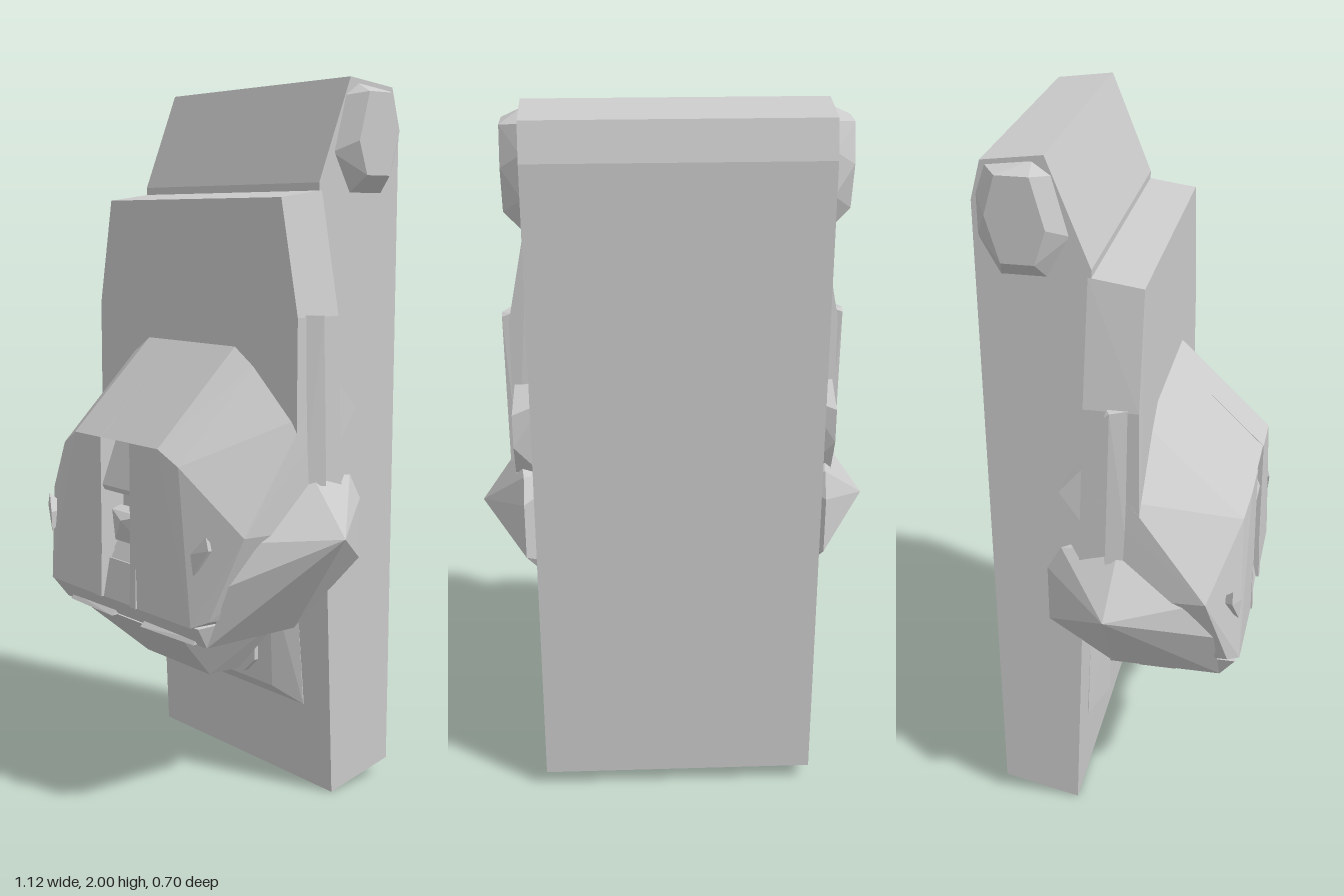
import * as THREE from 'three';
import { ConvexGeometry } from 'three/addons/geometries/ConvexGeometry.js';

const material = new THREE.MeshStandardMaterial({ color: 0xcccccc, flatShading: true });

// Faceted solid spanning the given corners
function hull(name, points) {
  const geometry = new ConvexGeometry(points.map((p) => new THREE.Vector3(...p)));
  const mesh = new THREE.Mesh(geometry, material);
  mesh.name = name;
  return mesh;
}

const flip = (points) => points.map(([x, y, z]) => [-x, y, z]);
const symmetric = (points) => [...points, ...flip(points)];

export function createModel() {
  const model = new THREE.Group();
  model.name = 'carvedKeystone';
  const centre = (name, points) => model.add(hull(name, symmetric(points)));
  const pair = (name, points) => model.add(
    hull(name + 'Left', points), hull(name + 'Right', flip(points)));

  // Wall slab: side profile as [z, y]
  const slab = [[-0.125, 0], [-0.345, 0.05], [-0.345, 1.88], [-0.318, 1.98], [-0.16, 2], [-0.05, 1.72]];
  centre('slab', slab.map(([z, y]) => [0.39, y, z]));

  // Faceted scroll ends at the top of the slab
  const scroll = [[-0.1, 1.8], [-0.14, 1.95], [-0.19, 1.985], [-0.31, 1.97],
    [-0.335, 1.9], [-0.335, 1.79], [-0.28, 1.69], [-0.16, 1.69]];
  const cap = [[-0.15, 1.83], [-0.185, 1.96], [-0.27, 1.96], [-0.3, 1.86], [-0.265, 1.74], [-0.18, 1.74]];
  pair('scrollEnd', [
    ...scroll.map(([z, y]) => [0.385, y, z]),
    ...cap.map(([z, y]) => [0.438, y, z]),
  ]);

  // Raised panel behind the head
  centre('backPanel', [
    [0.39, 1.68, 0.083], [0.39, 1.7, -0.06], [0.455, 1.37, 0.08], [0.455, 1.37, -0.065],
    [0.455, 0.8, 0.08], [0.455, 0.8, -0.09],
  ]);

  // Thin side fins and the ear lobes behind them
  pair('sideFin', [
    [0.45, 1.375, 0.06], [0.45, 1.375, -0.005], [0.478, 1.375, 0.008], [0.478, 1.365, -0.005],
    [0.45, 0.92, 0.05], [0.45, 0.92, -0.015], [0.474, 0.92, -0.01],
  ]);
  pair('earLobe', [
    [0.37, 1.25, 0], [0.44, 1.25, -0.02], [0.37, 1.15, -0.12], [0.455, 1.12, -0.135],
    [0.455, 1.02, -0.135], [0.455, 0.92, -0.085], [0.38, 0.92, -0.1], [0.455, 0.92, 0],
  ]);

  // Forehead bridging the two halves of the face
  centre('forehead', [
    [0.07, 1.28, 0.08], [0.07, 1.02, 0.345], [0.07, 1.02, 0], [0.07, 1.28, 0],
  ]);

  // Face halves either side of the nose groove
  pair('face', [
    [0.07, 1.28, 0.08], [0.2, 1.28, 0.08], [0.07, 1.02, 0.347], [0.2, 1.02, 0.347],
    [0.28, 1.25, 0.06], [0.275, 0.98, 0.335], [0.455, 1.11, 0.05], [0.458, 0.81, 0.26],
    [0.07, 0.56, 0.347], [0.34, 0.56, 0.345], [0.38, 0.58, 0.315],
    [0.07, 1.28, 0], [0.28, 1.25, 0], [0.455, 1.11, -0.04], [0.455, 0.8, -0.05],
    [0.36, 0.56, 0], [0.07, 0.56, 0],
  ]);

  // Recessed groove with bridge, nostril block and ridges
  centre('noseGroove', [
    [0.075, 1.03, 0.27], [0.075, 0.56, 0.27], [0.075, 1.03, 0], [0.075, 0.56, 0],
  ]);
  centre('noseBridge', [
    [0.07, 1.02, 0.29], [0.07, 0.885, 0.342], [0.07, 0.87, 0.335],
    [0.07, 0.87, 0.25], [0.07, 1.02, 0.25],
  ]);
  centre('noseTip', [
    [0.07, 0.82, 0.28], [0.07, 0.81, 0.31], [0, 0.79, 0.33], [0.07, 0.72, 0.3], [0.07, 0.72, 0.25],
  ]);
  for (let i = 0; i < 3; i++) {
    const y = 0.72 - i * 0.025;
    centre('upperLipRidge', [
      [0.07, y, 0.29 + i * 0.01], [0.07, y - 0.025, 0.305 + i * 0.01],
      [0.07, y, 0.25], [0.07, y - 0.025, 0.25],
    ]);
  }
  centre('upperLip', [
    [0.07, 0.67, 0.32], [0.07, 0.56, 0.342], [0.07, 0.67, 0.25], [0.07, 0.56, 0.25],
  ]);
  // Raised seams beside the nose
  pair('noseSeam', [
    [0.07, 0.77, 0.345], [0.095, 0.77, 0.345], [0.07, 0.56, 0.351], [0.1, 0.56, 0.351],
    [0.07, 0.56, 0.3], [0.1, 0.56, 0.3],
  ]);

  // Small slanted eyes
  pair('eye', [
    [0.38, 0.81, 0.325], [0.39, 0.775, 0.325], [0.345, 0.7, 0.34],
    [0.34, 0.76, 0.345], [0.36, 0.76, 0.27],
  ]);

  // Mouth, lips and tapering chin
  centre('mouth', [
    [0.36, 0.56, 0.335], [0.34, 0.495, 0.29], [0.36, 0.56, 0], [0.34, 0.495, -0.03],
  ]);
  pair('lowerLip', [
    [0.07, 0.512, 0.3], [0.3, 0.512, 0.295], [0.07, 0.497, 0.315], [0.3, 0.497, 0.305],
    [0.07, 0.497, 0.2], [0.3, 0.497, 0.2],
  ]);
  centre('chin', [
    [0.24, 0.5, 0.3], [0.15, 0.34, 0.13], [0.15, 0.34, 0.02], [0.26, 0.5, -0.04],
  ]);

  // Pointed cheeks reaching outward and back past the slab edge
  pair('cheek', [
    [0.562, 0.79, 0], [0.45, 0.79, 0.2], [0.45, 0.95, 0.02], [0.43, 0.93, -0.14],
    [0.43, 0.86, -0.18], [0.43, 0.69, -0.18], [0.39, 0.61, -0.11], [0.34, 0.495, -0.02],
    [0.34, 0.495, 0.29], [0.42, 0.68, 0.28], [0.3, 0.9, -0.05], [0.25, 0.55, 0],
  ]);

  // Beard tab and bevelled plinth beneath the chin
  centre('beardTab', [
    [0.14, 0.52, -0.045], [0.14, 0.345, -0.045], [0.09, 0.3, -0.045],
    [0.14, 0.52, -0.09], [0.14, 0.345, -0.09], [0.09, 0.3, -0.09],
  ]);
  centre('plinth', [
    [0.2, 0.6, -0.05], [0.2, 0.28, -0.062], [0.28, 0.235, -0.112],
    [0.26, 0.6, -0.1], [0.28, 0.235, -0.14], [0.26, 0.6, -0.14],
  ]);

  return model;
}
